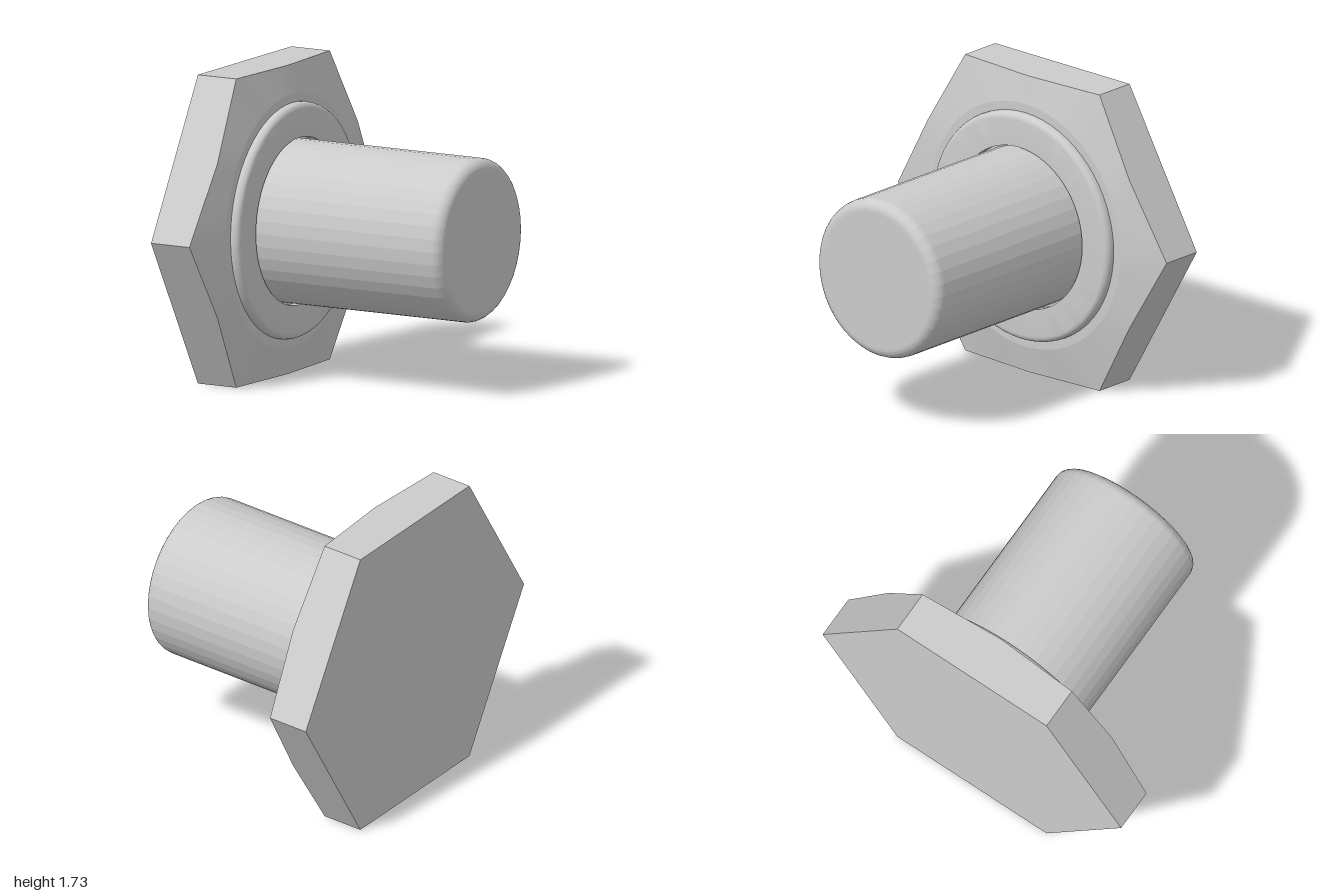
import * as THREE from 'three';
import { toCreasedNormals } from 'three/addons/utils/BufferGeometryUtils.js';

const FLAT = Math.sqrt(3) / 2; // centre to flat of the hexagon, corner radius 1

// Quarter-round corner points from the outer wall to the end face
function fillet(r, end, radius, steps = 6) {
  return Array.from({ length: steps + 1 }, (_, i) => {
    const a = (i / steps) * Math.PI / 2;
    return [r - radius + radius * Math.cos(a), end - radius + radius * Math.sin(a)];
  });
}

const lathe = (profile, segments) =>
  new THREE.LatheGeometry(profile.map(([r, y]) => new THREE.Vector2(r, y)), segments);

// Hexagonal plate whose outer face is chamfered towards the corners
function hexHeadGeometry() {
  const geo = lathe([[0, -0.767], [1, -0.767], [1, -0.5], [0.71, -0.46], [0, -0.46]], 48);
  const p = geo.attributes.position;
  for (let i = 0; i < p.count; i++) {
    const x = p.getX(i), z = p.getZ(i);
    if (Math.hypot(x, z) < 0.9) continue;
    // Angle from the middle of the nearest flat
    const turn = (Math.atan2(x, z) + Math.PI * 2 + 1e-6) % (Math.PI / 3);
    const a = turn - 1e-6 - Math.PI / 6;
    const r = FLAT / Math.cos(a);
    const t = Math.abs(Math.tan(a)) / Math.tan(Math.PI / 6);
    const y = p.getY(i) < -0.6 ? -0.767 : -0.49 - 0.03 * t;
    p.setXYZ(i, x * r, y, z * r);
  }
  return toCreasedNormals(geo, 0.15);
}

export function createModel() {
  const group = new THREE.Group();
  const smooth = new THREE.MeshStandardMaterial({ color: 0xcccccc });
  const faceted = new THREE.MeshStandardMaterial({ color: 0xcccccc, flatShading: true });

  // Parts are turned about y, then laid along x
  const add = (name, geometry, material) => {
    const mesh = new THREE.Mesh(geometry, material);
    mesh.name = name;
    mesh.rotation.z = -Math.PI / 2;
    mesh.position.y = FLAT;
    group.add(mesh);
  };

  add('hexHead', hexHeadGeometry(), smooth);

  // Raised ring with a narrow gap around the shaft
  const collar = [[0.66, -0.46], ...fillet(0.66, -0.412, 0.035), [0.469, -0.412], [0.469, -0.46]];
  add('collar', toCreasedNormals(lathe(collar, 64), 0.5), smooth);

  // Shaft with a rounded end
  const shaft = [[0.457, -0.46], ...fillet(0.457, 0.763, 0.06), [0, 0.763]];
  add('shaft', lathe(shaft, 40), faceted);

  return group;
}
